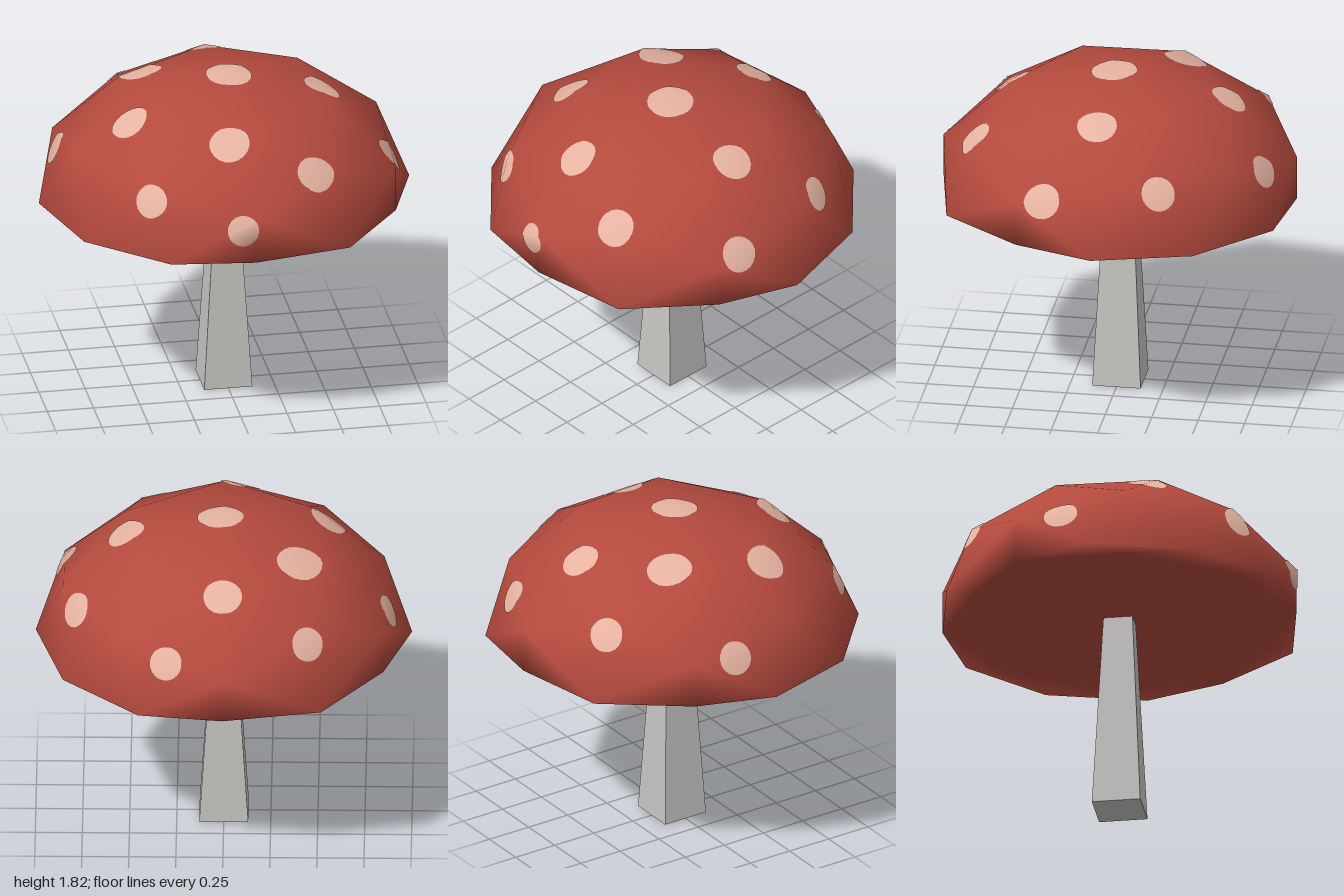
import * as THREE from 'three';
import { mergeVertices } from 'three/addons/utils/BufferGeometryUtils.js';

const CAP_Y = 1.133, CAP_SCALE = 0.68, CAP_BASE = 1.105;

// Faceted sphere squashed into a dome, with its lower half flattened.
function capGeometry() {
  let geo = new THREE.IcosahedronGeometry(1, 1);
  geo.deleteAttribute('uv');
  geo.deleteAttribute('normal');
  geo = mergeVertices(geo, 1e-4);
  geo.rotateY(Math.atan2(1, (1 + Math.sqrt(5)) / 2));
  const p = geo.attributes.position;
  for (let i = 0; i < p.count; i++) {
    const y = p.getY(i);
    p.setY(i, y < 1e-3 ? CAP_BASE : CAP_Y + CAP_SCALE * y);
  }
  geo.computeVertexNormals();
  return geo;
}

// Keep the part of a polygon on the inner side of a plane.
function clip(poly, side) {
  const out = [];
  poly.forEach((a, i) => {
    const b = poly[(i + 1) % poly.length];
    const da = side(a.p), db = side(b.p);
    if (da <= 0) out.push(a);
    if ((da < 0 && db > 0) || (da > 0 && db < 0)) {
      const t = da / (da - db);
      out.push({ p: a.p.clone().lerp(b.p, t), n: a.n.clone().lerp(b.n, t).normalize() });
    }
  });
  return out;
}

// Round spot that follows the facets of the cap.
function spotGeometry(cap, x, y, z, radius) {
  const centre = new THREE.Vector3(x, y, z);
  const axis = new THREE.Vector3(x, (y - CAP_Y) / CAP_SCALE ** 2, z).normalize();
  const u = new THREE.Vector3(0.3, 0.2, 0.93).cross(axis);
  if (u.length() < 0.3) u.set(1, 0, 0).cross(axis);
  u.normalize();
  const v = axis.clone().cross(u);
  const SIDES = 20;
  const positions = [], normals = [];
  const { position, normal } = cap.attributes;
  const index = cap.index;
  for (let f = 0; f < index.count; f += 3) {
    let poly = [0, 1, 2].map((k) => ({
      p: new THREE.Vector3().fromBufferAttribute(position, index.getX(f + k)),
      n: new THREE.Vector3().fromBufferAttribute(normal, index.getX(f + k)),
    }));
    const face = new THREE.Triangle(...poly.map((c) => c.p)).getNormal(new THREE.Vector3());
    if (face.dot(axis) < 0.3) continue;
    for (let k = 0; k < SIDES && poly.length; k++) {
      const a = (k / SIDES) * Math.PI * 2;
      const d = u.clone().multiplyScalar(Math.cos(a)).addScaledVector(v, Math.sin(a));
      poly = clip(poly, (p) => p.clone().sub(centre).dot(d) - radius);
    }
    for (let k = 1; k + 1 < poly.length; k++) {
      for (const c of [poly[0], poly[k], poly[k + 1]]) {
        positions.push(...c.p.clone().addScaledVector(axis, 0.004).toArray());
        normals.push(...c.n.toArray());
      }
    }
  }
  const geo = new THREE.BufferGeometry();
  geo.setAttribute('position', new THREE.Float32BufferAttribute(positions, 3));
  geo.setAttribute('normal', new THREE.Float32BufferAttribute(normals, 3));
  return geo;
}

// Square stem, narrower at the top.
function stemGeometry() {
  const geo = new THREE.BoxGeometry(0.26, CAP_BASE, 0.26).translate(0, CAP_BASE / 2, 0);
  const p = geo.attributes.position;
  for (let i = 0; i < p.count; i++) {
    if (p.getY(i) > 0.5) p.setXYZ(i, p.getX(i) * 0.48, p.getY(i), p.getZ(i) * 0.6);
  }
  const flat = geo.toNonIndexed();
  flat.computeVertexNormals();
  return flat;
}

export function createModel() {
  const red = new THREE.MeshStandardMaterial({ color: 0xb54a3e, side: THREE.DoubleSide });
  red.name = 'capRed';
  const pink = new THREE.MeshStandardMaterial({ color: 0xe6b3a2 });
  pink.name = 'spotPink';
  const grey = new THREE.MeshStandardMaterial({ color: 0xc6c5c2 });
  grey.name = 'stemGrey';

  const group = new THREE.Group();
  group.name = 'mushroom';
  const add = (name, geo, mat) => {
    const mesh = new THREE.Mesh(geo, mat);
    mesh.name = name;
    group.add(mesh);
  };

  const cap = capGeometry();
  add('cap', cap, red);
  add('stem', stemGeometry(), grey);

  // Spots: x, y, z, radius
  const spots = [
    [0.02, 1.81, 0.03, 0.122], [-0.41, 1.71, -0.29, 0.12],
    [0, 1.665, -0.59, 0.102], [0.52, 1.67, 0.04, 0.105],
    [-0.55, 1.645, 0.23, 0.106], [-0.08, 1.645, 0.6, 0.106],
    [0.36, 1.485, 0.72, 0.1], [0.84, 1.36, 0.28, 0.095],
    [0.78, 1.42, -0.33, 0.092], [0.3, 1.38, -0.82, 0.088],
    [-0.46, 1.46, -0.735, 0.09], [-0.885, 1.34, -0.185, 0.09],
    [-0.52, 1.395, 0.71, 0.088], [-0.065, 1.285, 0.93, 0.082],
  ];
  spots.forEach(([x, y, z, r], i) => add(`spot${i + 1}`, spotGeometry(cap, x, y, z, r), pink));
  return group;
}
